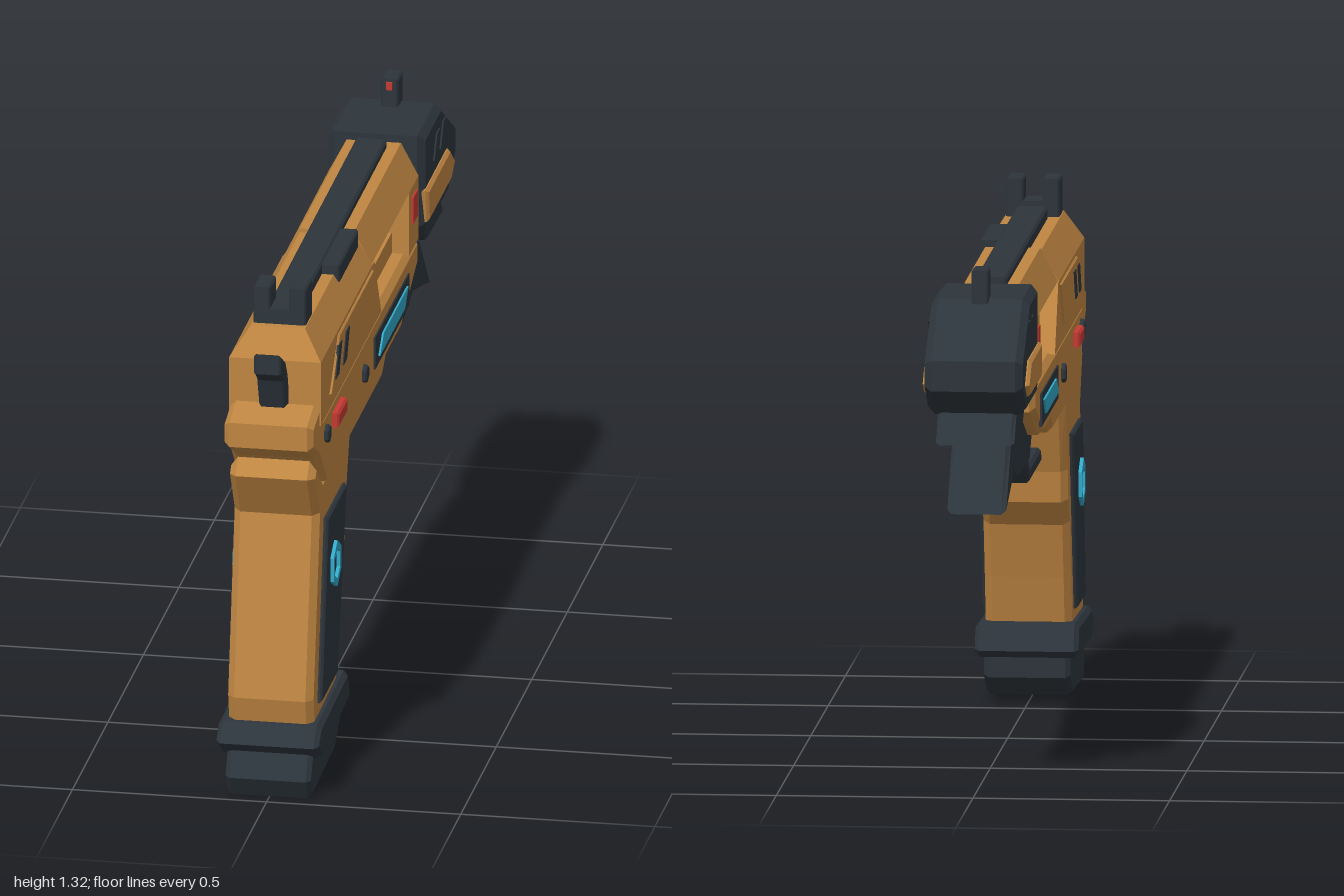
import * as THREE from 'three';

const mat = (name, color) => {
  const m = new THREE.MeshStandardMaterial({ color });
  m.name = name;
  return m;
};

export function createModel() {
  const orange = mat('burnt orange', 0xc08642);
  const dark = mat('dark slate', 0x2d353c);
  const red = mat('signal red', 0xc53a32);
  const cyan = mat('glow cyan', 0x30a9c9);
  const model = new THREE.Group();
  model.name = 'sciFiPistol';

  const add = (name, geo, material) => {
    const mesh = new THREE.Mesh(geo, material);
    mesh.name = name;
    model.add(mesh);
  };
  const toShape = pts => new THREE.Shape(pts.map(p => new THREE.Vector2(p[0], p[1])));

  // side profile in [z, y], extruded across x from x0 to x1 with a chamfer
  const slab = (name, profile, x0, x1, material, bevel = 0) => {
    const shape = Array.isArray(profile) ? toShape(profile) : profile;
    const geo = new THREE.ExtrudeGeometry(shape, {
      depth: x1 - x0 - 2 * bevel, bevelEnabled: bevel > 0, bevelSegments: 1,
      bevelSize: bevel, bevelThickness: bevel, bevelOffset: -bevel,
    });
    geo.rotateY(-Math.PI / 2).translate(x1 - bevel, 0, 0);
    add(name, geo, material);
  };
  const body = (name, profile, half, material, bevel = 0.012) => slab(name, profile, -half, half, material, bevel);
  // the same plate on both flanks
  const pair = (name, profile, x0, x1, material, bevel = 0) => {
    slab(name + 'Left', profile, x0, x1, material, bevel);
    slab(name + 'Right', profile, -x1, -x0, material, bevel);
  };
  const rect = (z0, z1, y0, y1) => [[z0, y0], [z1, y0], [z1, y1], [z0, y1]];
  const hex = (z, y, r) => Array.from({ length: 6 }, (_, i) => {
    const a = Math.PI / 6 + i * Math.PI / 3;
    return [z + r * Math.cos(a), y + r * Math.sin(a)];
  });

  // frame with rear tang
  body('frame', [[0.98, 1.01], [0.855, 1.04], [0.83, 0.985], [-0.51, 0.985], [-0.51, 0.915], [-0.27, 0.82],
    [-0.055, 0.82], [0, 0.785], [0.785, 0.785], [0.88, 0.89], [0.98, 0.945]], 0.115, orange, 0.015);

  // grip, panels and hexagonal emblems
  body('grip', [[0.90, 0.89], [0.935, 0.85], [0.866, 0.73], [0.957, 0.26], [0.94, 0.18], [0.61, 0.18],
    [0.576, 0.325], [0.54, 0.465], [0.49, 0.53], [0.48, 0.61], [0.41, 0.81], [0.80, 0.81]], 0.11, orange, 0.018);
  pair('gripPanel', [[0.796, 0.70], [0.533, 0.70], [0.66, 0.233], [0.887, 0.233]], 0.10, 0.122, dark, 0.006);
  const ring = toShape(hex(0.716, 0.55, 0.062));
  ring.holes.push(new THREE.Path(hex(0.716, 0.55, 0.041).map(p => new THREE.Vector2(...p))));
  pair('gripEmblem', ring, 0.122, 0.131, cyan);

  // magazine base
  body('magazineCollar', [[0.957, 0.195], [0.57, 0.208], [0.537, 0.14], [0.555, 0.122], [0.94, 0.105], [1.0, 0.15]], 0.132, dark);
  body('magazineFoot', [[0.95, 0.13], [0.555, 0.14], [0.555, 0.07], [0.635, 0.015], [0.957, 0], [0.99, 0.055]], 0.11, dark);

  // trigger and guard
  body('triggerGuard', [[0.50, 0.675], [0.14, 0.675], [-0.01, 0.77], [0, 0.81], [-0.067, 0.825], [-0.067, 0.755],
    [0.126, 0.635], [0.50, 0.635]], 0.045, dark, 0.008);
  body('trigger', [[0.37, 0.79], [0.31, 0.79], [0.30, 0.74], [0.285, 0.69], [0.32, 0.67], [0.35, 0.675], [0.325, 0.715]],
    0.025, dark, 0.005);

  // slide: flanks around the open window, then the chamfered roof
  body('slideRear', [[0.88, 0.98], [0.88, 1.15], [0.126, 1.15], [0.03, 0.98]], 0.118, orange, 0);
  body('slideFront', rect(-0.51, -0.38, 0.98, 1.15), 0.115, orange, 0);
  body('windowFloor', rect(-0.4, 0.1, 0.97, 1.04), 0.07, orange, 0);
  const roof = (name, z0, z1, half, top, rake) => {
    const geo = new THREE.ExtrudeGeometry(
      toShape([[-half, 1.15], [half, 1.15], [0.07, top], [-0.07, top]]), { depth: z1 - z0, bevelEnabled: false });
    geo.translate(0, 0, z0);
    const p = geo.attributes.position;
    for (let i = 0; i < p.count; i++) {
      if (p.getY(i) > 1.2 && p.getZ(i) > z1 - 0.01) p.setZ(i, z1 - rake);
    }
    geo.computeVertexNormals();
    add(name, geo, orange);
  };
  roof('roofRear', 0.15, 0.88, 0.118, 1.225, 0.04);
  roof('roofFront', -0.51, 0.15, 0.115, 1.235, 0);

  // barrel with rings, seen through the window
  const rod = (name, z0, z1, r) =>
    add(name, new THREE.CylinderGeometry(r, r, z1 - z0, 16).rotateX(Math.PI / 2).translate(0, 1.08, (z0 + z1) / 2), dark);
  rod('barrel', -0.56, 0.2, 0.04);
  rod('muzzleNeck', -0.56, -0.5, 0.07);
  for (const z of [-0.055, -0.265]) rod('barrelRing', z - 0.03, z + 0.03, 0.055);

  // slide details on both sides
  pair('slidePanel', [[0.76, 1.02], [0.64, 1.14], [0.16, 1.14], [0.25, 1.02]], 0.11, 0.123, orange, 0.004);
  for (const d of [0, -0.107]) {
    pair('slideVent', [[0.71 + d, 1.043], [0.667 + d, 1.118], [0.62 + d, 1.118], [0.662 + d, 1.043]], 0.12, 0.126, dark);
  }
  pair('redMarker', rect(-0.475, -0.41, 1.055, 1.125), 0.113, 0.12, red);

  // frame details on both sides
  pair('redButton', rect(0.587, 0.71, 0.913, 0.952), 0.11, 0.134, red, 0.006);
  for (const [z, y] of [[0.796, 0.93], [0.265, 0.898]]) pair('framePin', hex(z, y, 0.025), 0.11, 0.127, dark, 0.004);
  pair('lightHousing', rect(-0.362, 0.12, 0.855, 0.94), 0.112, 0.119, dark);
  pair('lightStrip', [[0.078, 0.877], [0.024, 0.92], [-0.324, 0.92], [-0.276, 0.877]], 0.118, 0.124, cyan);

  // top rail and offset block
  body('topRail', rect(-0.475, 0.71, 1.21, 1.255), 0.04, dark, 0.006);
  slab('railBlock', rect(0.17, 0.44, 1.2, 1.25), 0.035, 0.085, dark, 0.005);

  // sights
  body('rearSightBase', rect(0.73, 0.82, 1.2, 1.265), 0.068, dark, 0.005);
  pair('rearSightPost', rect(0.73, 0.82, 1.22, 1.322), 0.024, 0.068, dark, 0.005);
  body('frontSight', rect(-0.80, -0.73, 1.23, 1.322), 0.022, dark, 0.005);
  body('frontSightDot', rect(-0.735, -0.722, 1.295, 1.315), 0.008, red, 0);

  // hammer
  body('hammer', [[0.99, 1.204], [0.92, 1.165], [0.89, 1.12], [0.87, 1.06], [0.87, 1.03], [0.914, 1.035],
    [0.946, 1.118], [0.99, 1.15]], 0.035, dark, 0.006);

  // muzzle block, lower jaw and side inlays
  body('muzzleBlock', [[-0.533, 1.247], [-0.78, 1.247], [-0.995, 1.118], [-0.995, 1.04], [-0.88, 0.965], [-0.56, 0.965],
    [-0.533, 1.0]], 0.125, dark, 0.018);
  body('muzzleJaw', [[-0.55, 0.99], [-0.87, 0.99], [-0.947, 0.895], [-0.727, 0.895]], 0.1, dark, 0.01);
  pair('muzzleInlay', [[-0.535, 1.10], [-0.85, 1.10], [-0.92, 1.045], [-0.866, 1.01], [-0.55, 1.01]], 0.115, 0.136, orange, 0.008);
  for (const z of [-0.66, -0.75]) {
    pair('muzzleVent', [[z, 1.135], [z - 0.04, 1.135], [z - 0.08, 1.195], [z - 0.04, 1.195]], 0.12, 0.129, dark);
  }

  // swept fin below the barrel
  body('underFin', [[-0.50, 0.935], [-0.743, 0.90], [-0.903, 0.712], [-0.66, 0.775], [-0.52, 0.742], [-0.21, 0.737],
    [-0.13, 0.81], [-0.13, 0.84], [-0.27, 0.84]], 0.075, dark, 0.012);

  return model;
}
